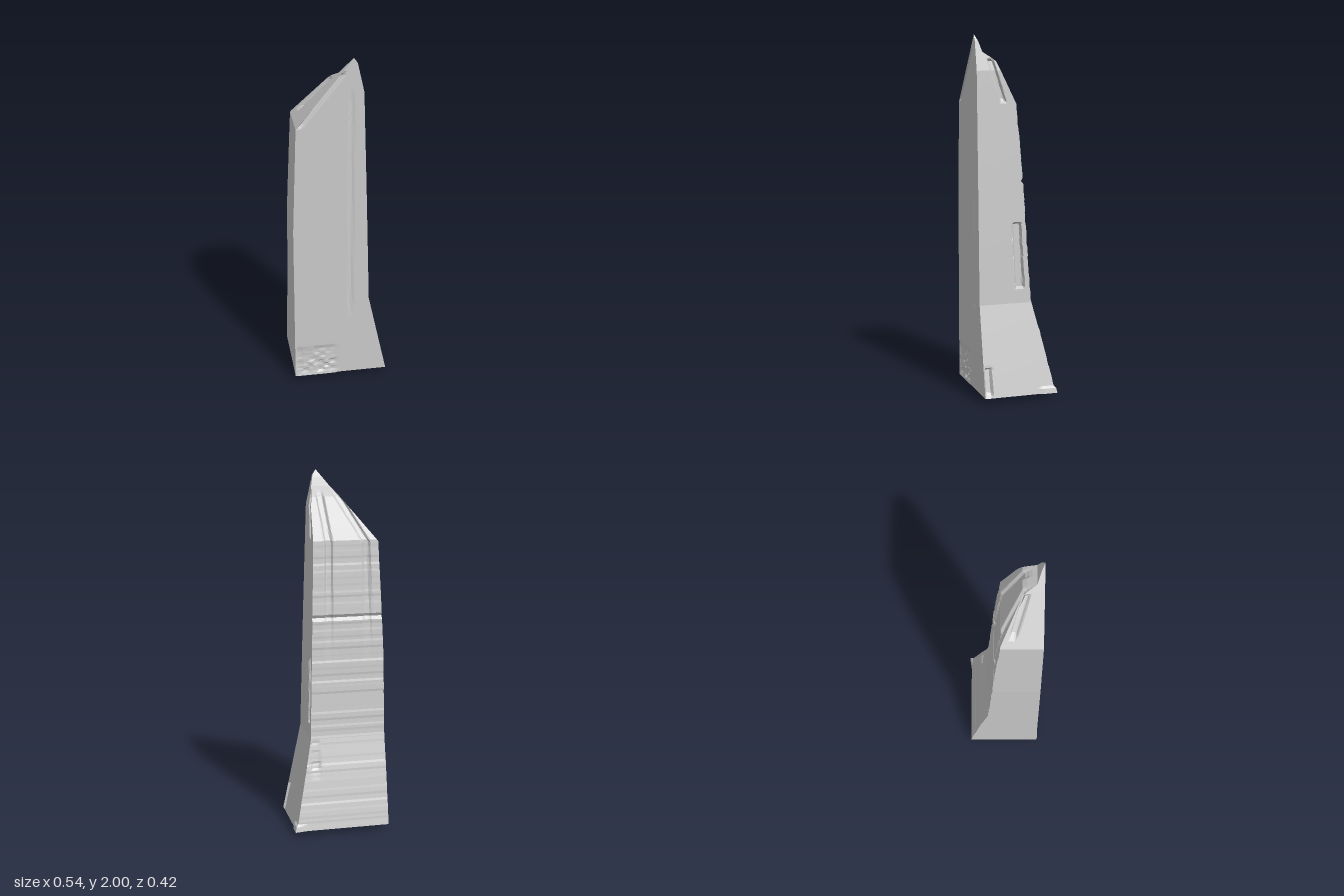
import * as THREE from 'three';

// Silhouette profiles as [height, offset] pairs
const LEFT = [[0.03, -0.27], [1, -0.268], [1.62, -0.245], [2, 0.06]];
const RIGHT = [[0.03, 0.26], [0.53, 0.155], [1.2, 0.135], [1.81, 0.115], [1.97, 0.08], [2, 0.06]];
const BACK = [[0.03, -0.203], [0.08, -0.193], [0.3, -0.15], [0.53, -0.095], [0.8, -0.076],
  [1.05, -0.062], [1.19, -0.055], [1.208, -0.04], [1.225, -0.051], [1.63, -0.018],
  [1.86, 0.092], [1.878, 0.115], [1.91, 0.165], [1.96, 0.182], [2, 0.2]];
const FRONT = 0.203;

// Weathered channels down the back face, as [height, x]
const CHANNELS = [
  [[0.95, -0.18], [1.62, -0.175], [1.87, -0.035]],
  [[0.95, 0.045], [1.62, 0.035], [1.87, 0.06]],
];

function sample(profile, y) {
  if (y <= profile[0][0]) return profile[0][1];
  for (let i = 1; i < profile.length; i++) {
    const [y0, v0] = profile[i - 1], [y1, v1] = profile[i];
    if (y <= y1) return v0 + (v1 - v0) * (y - y0) / (y1 - y0);
  }
  return profile[profile.length - 1][1];
}

const step = THREE.MathUtils.smoothstep;
// 1 between a and b, easing to 0 over the margin m outside
const band = (v, a, b, m) => step(v, a - m, a) * (1 - step(v, b, b + m));
// Repeatable roughness in 0..1
const rough = (a, b) => {
  const s = Math.sin(Math.floor(a) * 12.99 + Math.floor(b) * 78.23) * 43758.5;
  return s - Math.floor(s);
};

// Surface wear for each side
function wearFront(p, left) {
  const { x, y } = p;
  const chips = band(y, 0.06, 0.2, 0.04) * band(x, -0.25, -0.06, 0.05);
  p.z -= chips * 0.008 * rough(x * 30, y * 40);
  p.z += band(y, 0.03, 0.04, 0.02) * band(x, -0.26, -0.05, 0.04) * 0.006;
  p.z -= 0.004 * band(x, 0.045, 0.055, 0.012) * band(y, 0.5, 1.75, 0.1);
  // Chipped edge below the sloping top
  if (y > 1.62) p.z -= 0.018 * (1 - step(x - left, 0.005, 0.035)) * band(y, 1.65, 1.9, 0.03);
}

function wearRight(p) {
  const { y, z } = p;
  const slant = (y - 0.61) * 0.045;
  p.x -= 0.022 * band(y, 0.62, 0.97, 0.012) * band(z, -0.05 + slant, -0.012 + slant, 0.008);
  p.x -= 0.022 * band(y, 0.05, 0.185, 0.012) * band(z, 0.162, 0.21, 0.008);
  const mid = 0.05 + (y - 1.63) * 0.3;
  p.x -= 0.018 * band(y, 1.65, 1.86, 0.015) * band(z, mid - 0.008, mid + 0.012, 0.009);
}

function wearBack(p) {
  const { x, y } = p;
  for (const path of CHANNELS) {
    const mid = sample(path, y);
    const fade = step(y, 0.9, 1.55) * (1 - step(y, 1.86, 1.9));
    p.z += 0.014 * fade * band(x, mid - 0.012, mid + 0.012, 0.014);
  }
  p.z += 0.012 * band(y, 0.33, 0.5, 0.03) * band(x, 0.12, 0.15, 0.02) * rough(y * 30, 3);
}

function wearLeft(p) {
  const { y, z } = p;
  // Gouge running up the sloping top
  const mid = 0.045 + (y - 1.67) * 0.34;
  p.x += 0.02 * band(y, 1.68, 1.85, 0.02) * band(z, mid - 0.008, mid + 0.012, 0.014);
}

// One closed ring of points around the stone
function ring(y) {
  const l = sample(LEFT, y), r = sample(RIGHT, y);
  const layers = y > 0.05 && y < 1.6 ? (rough(y * 28, 7) - 0.5) * 0.004 : 0;
  const b = Math.min(FRONT, sample(BACK, y) + layers);
  const corners = [[l, FRONT], [r, FRONT], [r, b], [l, b]];
  const counts = [30, 32, 40, 24];
  const wear = [wearFront, wearRight, wearBack, wearLeft];
  const points = [];
  for (let s = 0; s < 4; s++) {
    const [x0, z0] = corners[s], [x1, z1] = corners[(s + 1) % 4];
    for (let i = 0; i < counts[s]; i++) {
      const t = i / counts[s];
      const p = new THREE.Vector3(x0 + (x1 - x0) * t, y, z0 + (z1 - z0) * t);
      if (i > 0 && y < 1.99) wear[s](p, l);
      // Flared foot at the rear right corner
      if (y < 0.06) {
        const flare = step(p.x, 0.19, 0.26) * band(p.z, -0.21, -0.15, 0.05);
        p.x += 0.009 * flare;
        p.z -= 0.01 * flare * step(-p.z, 0.15, 0.2);
      }
      points.push(p);
    }
  }
  return points;
}

function stoneGeometry() {
  const heights = new Set([LEFT, RIGHT, BACK].flatMap((f) => f.map((e) => e[0])));
  for (let y = 0.045; y < 1.995; y += 0.0125) heights.add(y);
  const rings = [...heights].sort((a, b) => a - b).map(ring);
  const n = rings[0].length;
  const positions = [];
  const tri = (...pts) => pts.forEach((p) => positions.push(p.x, p.y, p.z));
  for (let i = 0; i + 1 < rings.length; i++) {
    for (let j = 0; j < n; j++) {
      const k = (j + 1) % n;
      tri(rings[i][j], rings[i][k], rings[i + 1][k]);
      tri(rings[i][j], rings[i + 1][k], rings[i + 1][j]);
    }
  }
  // Shallow inverted pyramid underneath
  const apex = new THREE.Vector3(0, 0, 0);
  for (let j = 0; j < n; j++) tri(apex, rings[0][(j + 1) % n], rings[0][j]);

  const geometry = new THREE.BufferGeometry();
  geometry.setAttribute('position', new THREE.Float32BufferAttribute(positions, 3));
  geometry.computeVertexNormals();
  return geometry;
}

export function createModel() {
  const group = new THREE.Group();
  group.name = 'standingStone';
  const material = new THREE.MeshStandardMaterial({ color: 0xcccccc, flatShading: true });
  const stone = new THREE.Mesh(stoneGeometry(), material);
  stone.name = 'stoneBody';
  group.add(stone);
  return group;
}
